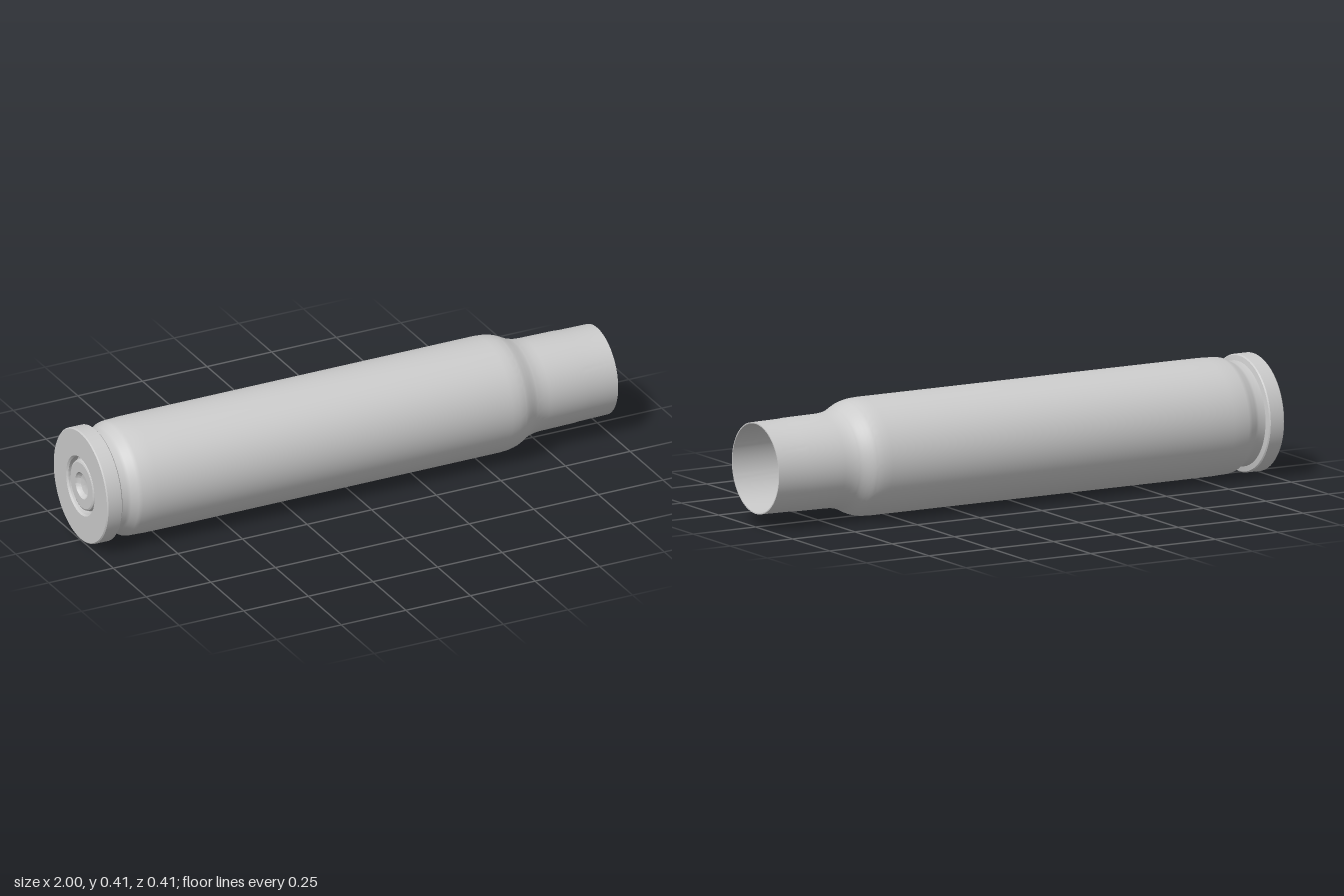
import * as THREE from 'three';
import { toCreasedNormals } from 'three/addons/utils/BufferGeometryUtils.js';

const RADIUS = 0.206;
const SEGMENTS = 96;

// Revolves [x, radius] pairs about the long axis
function turned(name, profile, material) {
  const points = profile.map(([x, r]) => new THREE.Vector2(r, x));
  const geometry = toCreasedNormals(new THREE.LatheGeometry(points, SEGMENTS), 0.45);
  geometry.rotateZ(-Math.PI / 2);
  geometry.translate(0, RADIUS, 0);
  const mesh = new THREE.Mesh(geometry, material);
  mesh.name = name;
  return mesh;
}

// S-shaped blend between two [x, radius] points
function blend([x0, r0], [x1, r1], steps = 10) {
  return Array.from({ length: steps + 1 }, (_, i) => {
    const t = i / steps;
    const s = 0.5 * t + 0.5 * t * t * (3 - 2 * t);
    return [x0 + (x1 - x0) * t, r0 + (r1 - r0) * s];
  });
}

export function createModel() {
  const group = new THREE.Group();
  group.name = 'cartridgeCase';
  const material = new THREE.MeshStandardMaterial({ color: 0xcccccc });

  // Outside: base face, rim, extractor groove, body, shoulder and neck
  const outside = [
    [-0.97, 0], [-0.97, 0.102], [-0.994, 0.102], [-1, 0.108],
    [-1, 0.202], [-0.996, 0.206], [-0.944, 0.206], [-0.94, 0.202],
    [-0.936, 0.184], [-0.91, 0.183], [-0.898, 0.186], [-0.875, 0.2],
    [-0.86, 0.203], [-0.8, 0.2055], [-0.7, 0.206], [0.57, 0.206],
    [0.6, 0.204],
    ...blend([0.62, 0.2], [0.69, 0.171]),
    [0.71, 0.1665], [0.735, 0.1645], [0.87, 0.163], [0.885, 0.1615], [1, 0.16],
  ];

  // Inside: thin neck, shoulder, tapering wall and a bowl with a flat floor
  const inside = [
    [1, 0.156], [0.735, 0.158], [0.71, 0.161],
    ...blend([0.69, 0.166], [0.62, 0.194]),
    [0.57, 0.199], [-0.4, 0.19], [-0.65, 0.178],
  ];
  for (let i = 1; i <= 10; i++) {
    const a = (i / 10) * Math.PI / 2;
    inside.push([-0.7 - 0.1 * Math.sin(a), 0.093 + 0.082 * Math.cos(a)]);
  }
  inside.push([-0.8, 0]);
  group.add(turned('caseShell', [...outside, ...inside], material));

  // Primer cup with a rounded edge and a central dent
  group.add(turned('primer', [
    [-0.975, 0], [-0.976, 0.02], [-0.98, 0.036], [-0.988, 0.045], [-0.995, 0.048],
    [-0.995, 0.083], [-0.992, 0.089], [-0.985, 0.092], [-0.965, 0.092],
  ], material));

  return group;
}
